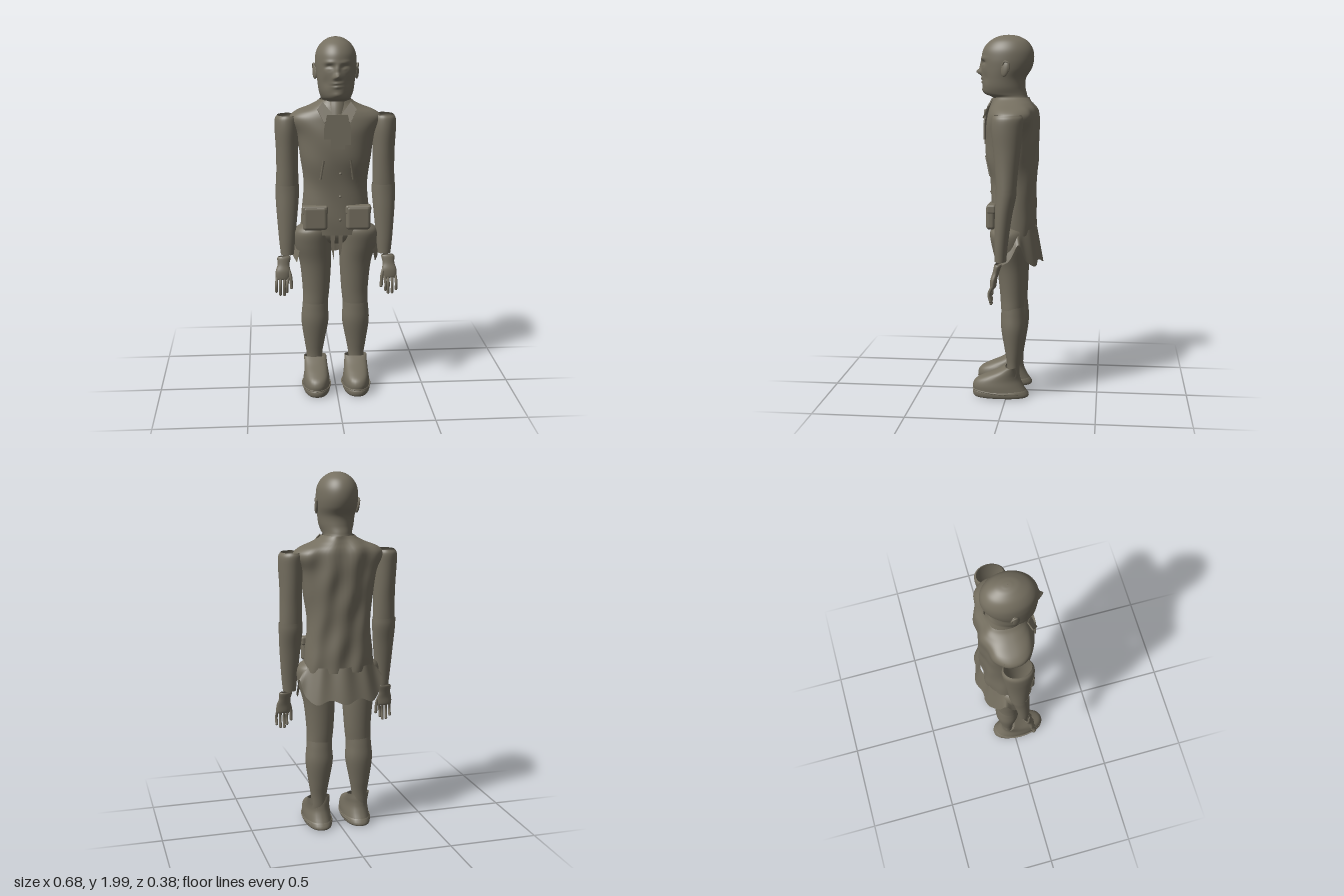
import * as THREE from 'three';
import { RoundedBoxGeometry } from 'three/addons/geometries/RoundedBoxGeometry.js';

const clay = new THREE.MeshStandardMaterial({ color: 0x756f60, side: THREE.DoubleSide });
clay.name = 'taupe clay';

// Grid surface from f(u, v); u runs around, v runs upwards
function surface(f, nu, nv, closed) {
  const pos = [], idx = [], cols = closed ? nu : nu + 1;
  for (let j = 0; j <= nv; j++)
    for (let i = 0; i < cols; i++) pos.push(...f(i / nu, j / nv));
  for (let j = 0; j < nv; j++)
    for (let i = 0; i < nu; i++) {
      const a = j * cols + i, b = j * cols + (i + 1) % cols, c = a + cols, d = b + cols;
      idx.push(a, c, b, b, c, d);
    }
  const g = new THREE.BufferGeometry();
  g.setAttribute('position', new THREE.Float32BufferAttribute(pos, 3));
  g.setIndex(idx);
  g.computeVertexNormals();
  return g;
}

// Smooth loft through rows of [y, centreX, halfWidth, frontZ, backZ]
function loft(rows, { s = 1, nu = 32, sub = 5, e = 2, warp } = {}) {
  const curve = new THREE.CubicInterpolant(rows.map((_, i) => i), rows.flat(), 5);
  const pow = (c) => Math.sign(c) * Math.abs(c) ** (2 / e);
  return surface((u, v) => {
    const [y, cx, rx, zf, zb] = curve.evaluate(v * (rows.length - 1));
    const a = u * Math.PI * 2;
    const p = [s * cx + rx * pow(Math.cos(a)), y, (zf + zb) / 2 + (zf - zb) / 2 * pow(Math.sin(a))];
    if (warp) warp(p, a);
    return p;
  }, nu, (rows.length - 1) * sub, true);
}

function tube(points, r, closed = false) {
  const c = new THREE.CatmullRomCurve3(points.map((p) => new THREE.Vector3(...p)), closed);
  return new THREE.TubeGeometry(c, closed ? 48 : 14, r, 8, closed);
}

function plate(points, depth) {
  const shape = new THREE.Shape(points.map((p) => new THREE.Vector2(...p)));
  return new THREE.ExtrudeGeometry(shape, { depth, bevelEnabled: false });
}

// Facial relief: [x, y, spreadX, spreadY, height], mirrored when x is not 0
const relief = [
  [0, 1.835, 0.012, 0.025, 0.01], [0, 1.803, 0.015, 0.015, 0.028], [0.016, 1.796, 0.008, 0.008, 0.008],
  [0.042, 1.85, 0.022, 0.014, -0.014], [0.042, 1.843, 0.014, 0.007, 0.008], [0.042, 1.875, 0.028, 0.009, 0.006],
  [0, 1.766, 0.024, 0.006, 0.008], [0, 1.748, 0.02, 0.006, 0.007], [0, 1.757, 0.03, 0.003, -0.004],
  [0, 1.705, 0.028, 0.015, 0.007], [0.06, 1.77, 0.02, 0.03, -0.006],
];
function face(p) {
  if (p[2] < 0.03) return;
  const [x, y] = p;
  for (const [bx, by, sx, sy, h] of relief)
    for (const m of bx ? [-1, 1] : [1])
      p[2] += h * Math.exp(-(((x - m * bx) / sx) ** 2) - ((y - by) / sy) ** 2);
}

// Soft diagonal cloth folds, strongest at the back
function folds(p, a) {
  const back = Math.max(0, -Math.sin(a));
  p[2] += 0.007 * back * Math.sin(p[0] * 48 + p[1] * 9) - 0.002 * Math.sin(p[1] * 30 + p[0] * 25);
}

export function createModel() {
  const model = new THREE.Group();
  const add = (name, geometry, place) => {
    const m = new THREE.Mesh(geometry, clay);
    m.name = name;
    if (place) m.position.set(...place);
    model.add(m);
    return m;
  };

  // Head and neck
  add('head', loft([
    [1.62, 0, 0.084, 0.06, -0.12], [1.665, 0, 0.077, 0.085, -0.105], [1.685, 0, 0.082, 0.128, -0.1],
    [1.72, 0, 0.093, 0.14, -0.092], [1.77, 0, 0.1, 0.145, -0.095], [1.82, 0, 0.108, 0.147, -0.125],
    [1.87, 0, 0.111, 0.147, -0.138], [1.92, 0, 0.105, 0.138, -0.133], [1.962, 0, 0.082, 0.108, -0.108],
    [1.989, 0, 0.047, 0.062, -0.065], [1.998, 0, 0.02, 0.025, -0.03], [2, 0, 0.001, 0, -0.002],
  ], { nu: 96, sub: 8, warp: face }));

  // Coat body
  add('coatBody', loft([
    [0.93, 0, 0.195, 0.085, -0.15], [1.02, 0, 0.19, 0.09, -0.15], [1.2, 0, 0.175, 0.095, -0.15],
    [1.35, 0, 0.193, 0.12, -0.158], [1.48, 0, 0.212, 0.122, -0.163], [1.56, 0, 0.25, 0.11, -0.16],
    [1.6, 0, 0.222, 0.1, -0.152], [1.63, 0, 0.15, 0.088, -0.135], [1.65, 0, 0.108, 0.08, -0.123],
    [1.668, 0, 0.085, 0.075, -0.115],
  ], { nu: 72, sub: 6, e: 2.3, warp: folds }));

  // Coat tails: long at the back, cut up at the hips, open in front
  add('coatTails', surface((u, v) => {
    const a = Math.PI * (0.86 + 1.28 * u), back = -Math.sin(a);
    const notch = Math.exp(-(((back - 0.2) / 0.2) ** 2));
    const hem = 0.775 + 0.13 * notch + 0.012 * Math.sin(a * 9);
    const k = 1 - v, rx = 0.195 + 0.045 * k;
    const zMid = -0.03 - 0.008 * k, rz = 0.12 + 0.028 * k;
    return [rx * Math.cos(a), 0.96 + (hem - 0.96) * k,
      zMid + rz * Math.sign(Math.sin(a)) * Math.abs(Math.sin(a)) ** 0.87 + 0.008 * back * Math.sin(a * 9)];
  }, 72, 10, false));

  // Cravat, buttons and trouser seat
  add('cravat', plate([[-0.07, 1.47], [-0.035, 1.47], [-0.035, 1.415], [0.04, 1.415], [0.04, 1.44],
    [0.072, 1.44], [0.072, 1.53], [0.055, 1.6], [-0.055, 1.6], [-0.07, 1.53]], 0.008), [0, 0, 0.12]);
  add('neckStock', loft([[1.57, 0, 0.07, 0.115, -0.08], [1.63, 0, 0.066, 0.1, -0.08], [1.67, 0, 0.062, 0.085, -0.08]]));
  for (const y of [1.28, 1.15, 1.02])
    add('button', new THREE.SphereGeometry(0.008, 12, 8), [0.018, y, y > 1.2 ? 0.108 : 0.093]);
  const seat = add('trouserSeat', new THREE.SphereGeometry(1, 32, 20), [0, 0.95, -0.01]);
  seat.scale.set(0.17, 0.09, 0.085);

  for (const s of [-1, 1]) {
    // Ear
    const ear = add('ear', new THREE.SphereGeometry(1, 18, 14), [s * 0.111, 1.82, 0.008]);
    ear.scale.set(0.011, 0.043, 0.023);
    ear.rotation.set(-0.2, s * -0.4, 0);
    add('earRim', tube([[0.113, 1.79, 0.012], [0.117, 1.815, -0.012], [0.121, 1.85, -0.012], [0.118, 1.858, 0.01],
      [0.112, 1.84, 0.022]].map(([x, y, z]) => [s * x, y, z]), 0.005));

    // Collar, breast welt, pocket and front edge of the coat
    const collar = add('collar', plate([[0.025, 1.6], [0.07, 1.55], [0.105, 1.625], [0.075, 1.668]]
      .map(([x, y]) => [s * x, y - 1.6]), 0.007), [0, 1.6, 0.106]);
    collar.rotation.x = -0.45;
    add('breastWelt', tube([[0.072, 1.355, 0.116], [0.08, 1.3, 0.103], [0.088, 1.245, 0.091]]
      .map(([x, y, z]) => [s * x, y, z]), 0.006));
    add('pocket', new RoundedBoxGeometry(0.135, 0.135, 0.05, 4, 0.02), [s * 0.118, 1.03, 0.08]);
    add('pocketFlap', new RoundedBoxGeometry(0.14, 0.05, 0.05, 4, 0.012), [s * 0.118, 1.075, 0.076]);
    add('coatEdge', plate([[0.008, 0.95], [0.035, 0.95], [0.03, 0.86], [0.016, 0.79]]
      .map(([x, y]) => [s * x, y]), 0.006), [0, 0, 0.07]);

    // Sleeve, open at the shoulder, and forearm
    add('upperArm', loft([
      [1.185, 0.266, 0.061, 0.038, -0.068], [1.3, 0.264, 0.06, 0.045, -0.078], [1.4, 0.264, 0.061, 0.054, -0.09],
      [1.5, 0.265, 0.065, 0.063, -0.1], [1.56, 0.265, 0.064, 0.06, -0.104], [1.583, 0.262, 0.054, 0.05, -0.095],
    ], { s }));
    add('forearm', loft([
      [0.81, 0.27, 0.036, 0.046, -0.015], [0.9, 0.27, 0.045, 0.048, -0.024], [1.05, 0.268, 0.058, 0.045, -0.045],
      [1.15, 0.266, 0.065, 0.041, -0.066], [1.2, 0.266, 0.065, 0.04, -0.07],
    ], { s }));

    // Hand, fingers and thumb
    add('palm', loft([
      [0.672, 0.299, 0.028, 0.057, 0.048], [0.68, 0.299, 0.039, 0.067, 0.036], [0.72, 0.296, 0.041, 0.066, 0.03],
      [0.755, 0.293, 0.033, 0.055, 0.02], [0.79, 0.29, 0.037, 0.048, 0.008], [0.8, 0.288, 0.032, 0.044, 0.008],
    ], { s, nu: 24 }));
    [[0.267, 0.275, 0.605], [0.288, 0.29, 0.588], [0.309, 0.312, 0.59], [0.33, 0.334, 0.608]].forEach(([x0, x1, y]) => {
      add('finger', tube([[s * x0, 0.69, 0.052], [s * x1, 0.645, 0.07], [s * x1, y, 0.062]], 0.008));
      add('fingertip', new THREE.SphereGeometry(0.008, 10, 8), [s * x1, y, 0.062]);
    });
    add('thumb', tube([[s * 0.268, 0.735, 0.045], [s * 0.255, 0.695, 0.058], [s * 0.25, 0.63, 0.065]], 0.009));
    add('thumbTip', new THREE.SphereGeometry(0.009, 10, 8), [s * 0.25, 0.63, 0.065]);

    // Thigh and shin
    add('thigh', loft([
      [0.515, 0.113, 0.071, 0.03, -0.095], [0.6, 0.109, 0.076, 0.035, -0.1], [0.75, 0.112, 0.088, 0.052, -0.106],
      [0.86, 0.126, 0.102, 0.076, -0.108], [0.94, 0.128, 0.104, 0.088, -0.1], [0.98, 0.11, 0.078, 0.07, -0.08],
    ], { s }));
    add('shin', loft([
      [0.13, 0.12, 0.043, -0.005, -0.072], [0.2, 0.12, 0.045, -0.004, -0.075], [0.28, 0.119, 0.058, 0.008, -0.088],
      [0.4, 0.116, 0.077, 0.028, -0.105], [0.48, 0.115, 0.073, 0.029, -0.101], [0.535, 0.113, 0.07, 0.027, -0.095],
    ], { s }));

    // Shoe, sole and welt
    add('shoe', loft([
      [0.05, 0.113, 0.075, 0.185, -0.11], [0.08, 0.113, 0.074, 0.188, -0.093], [0.11, 0.113, 0.07, 0.172, -0.08],
      [0.135, 0.114, 0.067, 0.125, -0.074], [0.162, 0.115, 0.065, 0.06, -0.07], [0.19, 0.117, 0.064, 0.005, -0.062],
    ], { s, e: 2.2 }));
    add('sole', loft([
      [0.012, 0.113, 0.001, 0.04, 0.038], [0.013, 0.113, 0.06, 0.165, -0.1], [0.024, 0.113, 0.075, 0.186, -0.125],
      [0.045, 0.113, 0.077, 0.188, -0.115], [0.054, 0.113, 0.073, 0.183, -0.108],
    ], { s, e: 2.3, sub: 3 }));
    const rim = [];
    for (let i = 0; i < 16; i++) {
      const a = i / 16 * Math.PI * 2, z = 0.035 + 0.152 * Math.sin(a);
      rim.push([s * 0.113 + 0.08 * Math.cos(a), 0.043 + 0.07 * z, z]);
    }
    add('welt', tube(rim, 0.004, true));
  }
  return model;
}
